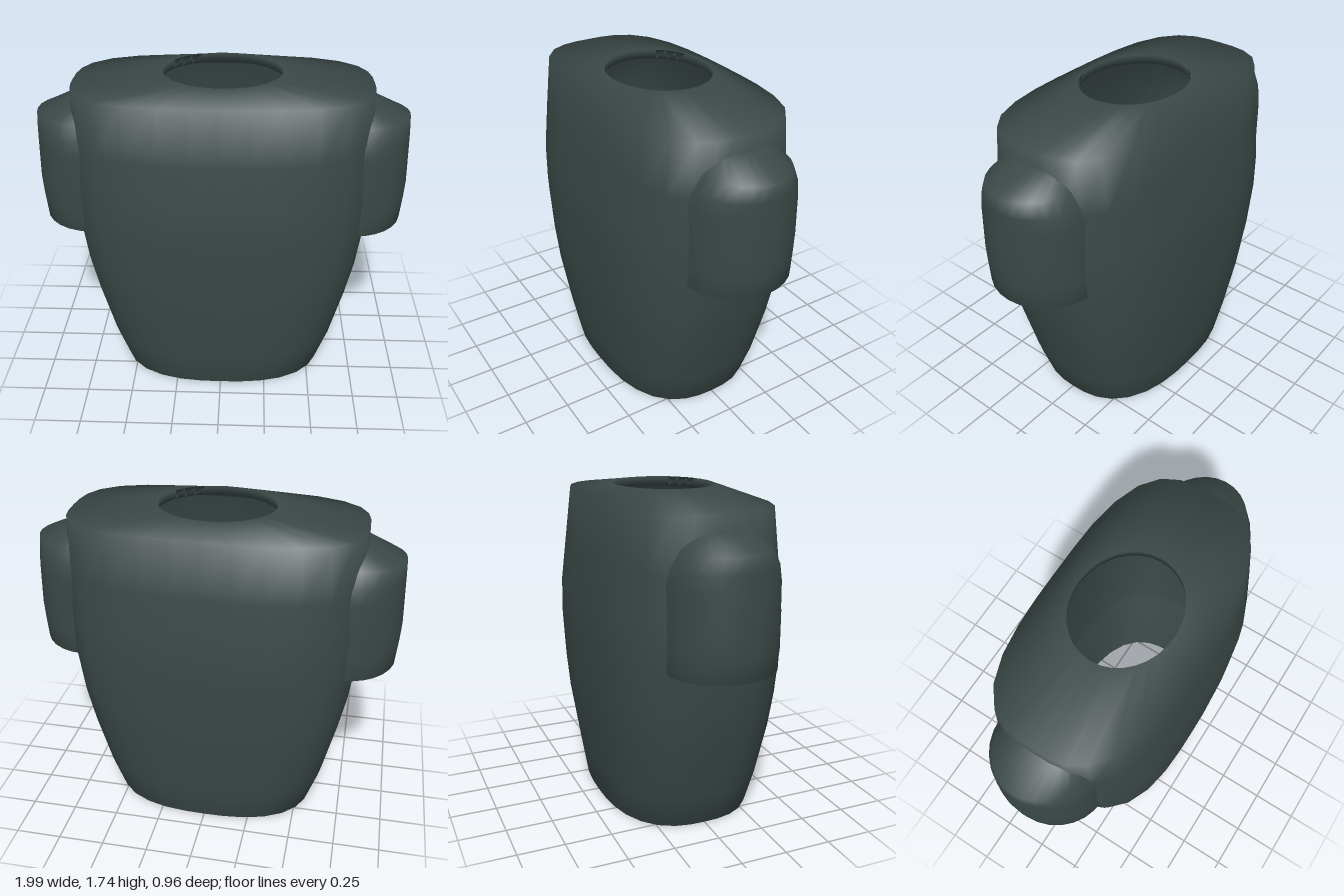
import * as THREE from 'three';

// Skin over stacked rings [y, rx, rz, power]; power 2 is an ellipse, higher is boxier.
function loft(rings, cx, start, end, segs) {
  const closed = end - start > 6.28;
  const cols = closed ? segs : segs + 1;
  const pos = [], index = [];
  for (const [y, rx, rz, p = 2] of rings) {
    for (let i = 0; i < cols; i++) {
      const a = start + (end - start) * i / segs;
      const c = Math.cos(a), s = Math.sin(a);
      const r = Math.pow(Math.abs(c) ** p + Math.abs(s) ** p, -1 / p);
      pos.push(cx + rx * r * c, y, rz * r * s);
    }
  }
  for (let j = 0; j < rings.length - 1; j++) {
    for (let i = 0; i < segs; i++) {
      const k = (i + 1) % cols;
      const a = j * cols + i, b = j * cols + k;
      index.push(a, a + cols, b, b, a + cols, b + cols);
    }
  }
  const g = new THREE.BufferGeometry();
  g.setAttribute('position', new THREE.Float32BufferAttribute(pos, 3));
  g.setIndex(index);
  g.computeVertexNormals();
  return g;
}

export function createModel() {
  const model = new THREE.Group();
  model.name = 'shirt';
  const cloth = new THREE.MeshStandardMaterial({ color: 0x3a4847, side: THREE.DoubleSide });
  cloth.name = 'dark slate cloth';

  // Torso: lining, turned hem, outside, shoulders, neck opening, back down the lining
  const torso = new THREE.Mesh(loft([
    [0.5, 0.68, 0.44, 3],
    [0.02, 0.545, 0.375, 2.6],
    [0, 0.575, 0.405, 2.6],
    [0.2, 0.64, 0.43, 2.8],
    [0.5, 0.71, 0.465, 3],
    [0.7, 0.75, 0.475, 3.1],
    [0.95, 0.78, 0.48, 3.2],
    [1.15, 0.785, 0.475, 3.2],
    [1.4, 0.785, 0.44, 3.2],
    [1.68, 0.78, 0.405, 3.1],
    [1.74, 0.31, 0.265, 2],
    [1.69, 0.315, 0.27, 2],
    [1.64, 0.74, 0.37, 3],
    [1.15, 0.755, 0.445, 3.2],
    [0.5, 0.68, 0.44, 3],
  ], 0, 0, Math.PI * 2, 32), cloth);
  torso.name = 'torso';
  model.add(torso);

  // Short sleeves: lining, turned cuff, outside and sloping shoulder cap
  const sleeveGeometry = loft([
    [1.3, 0.25, 0.26],
    [0.94, 0.25, 0.265],
    [0.93, 0.28, 0.29],
    [1.05, 0.29, 0.29],
    [1.15, 0.295, 0.29],
    [1.36, 0.287, 0.288],
    [1.44, 0.284, 0.275],
    [1.52, 0.28, 0.235],
    [1.6, 0.085, 0.17],
    [1.62, 0.03, 0.08],
  ], 0.7, -Math.PI / 2, Math.PI / 2, 14);
  for (const side of ['left', 'right']) {
    const sleeve = new THREE.Mesh(sleeveGeometry, cloth);
    sleeve.name = side + 'Sleeve';
    if (side === 'right') sleeve.rotation.y = Math.PI;
    model.add(sleeve);
  }
  return model;
}
